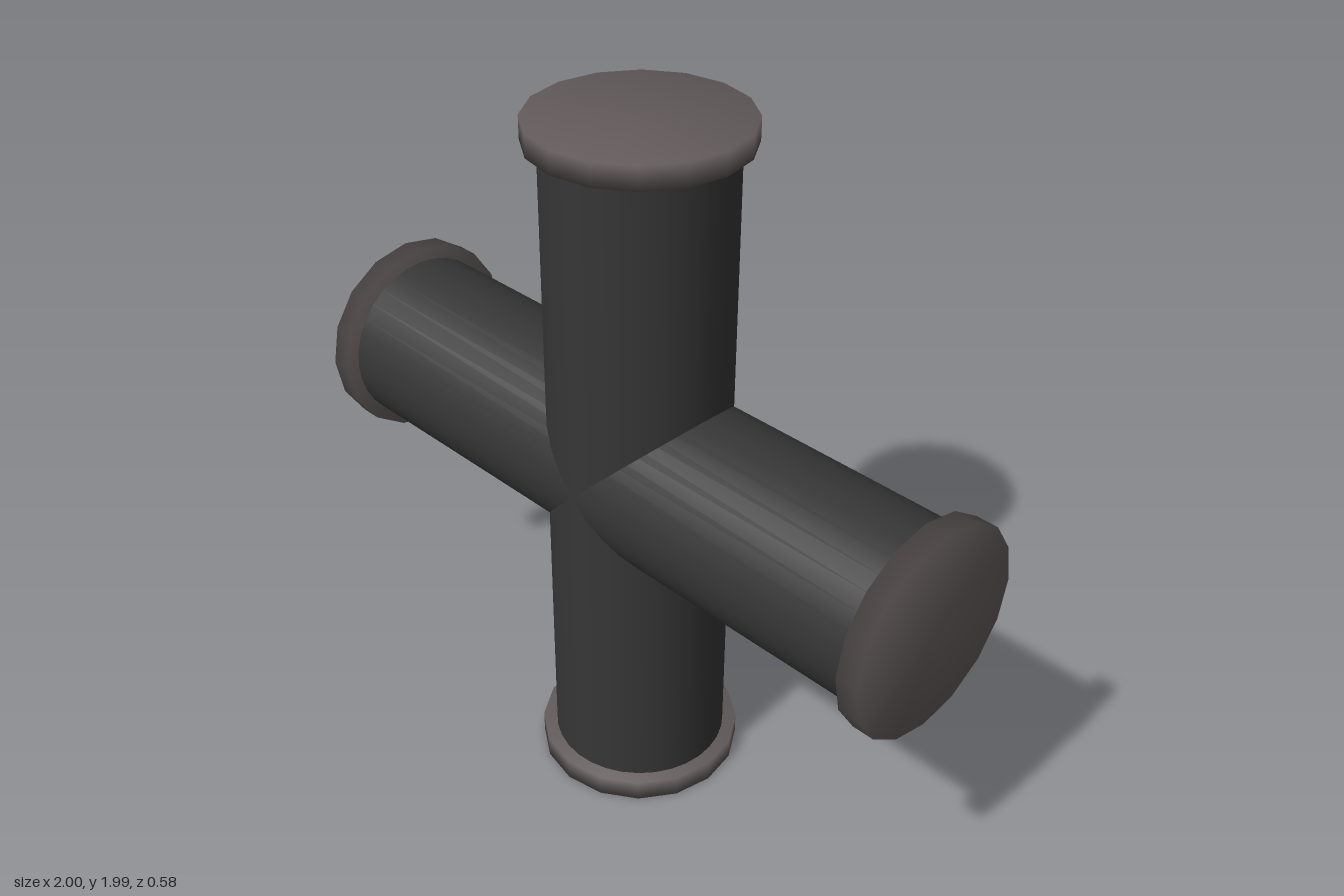
import * as THREE from 'three';
import { mergeVertices } from 'three/addons/utils/BufferGeometryUtils.js';

const CENTER_Y = 0.995;
const PIPE_RADIUS = 0.25;
const FLANGE_RADIUS = 0.29;
const FLANGE_THICKNESS = 0.063;

// Flange disc with normals blended softly around its rim
function softDisc(radius, height, sides) {
  const geo = new THREE.CylinderGeometry(radius, radius, height, sides);
  geo.deleteAttribute('normal');
  geo.deleteAttribute('uv');
  const merged = mergeVertices(geo);
  merged.computeVertexNormals();
  return merged;
}

export function createModel() {
  const model = new THREE.Group();
  model.name = 'pipeCross';

  const pipeMaterial = new THREE.MeshStandardMaterial({ color: 0x363636 });
  pipeMaterial.name = 'dark pipe';
  const flangeMaterial = new THREE.MeshStandardMaterial({ color: 0x625a5a });
  flangeMaterial.name = 'warm grey flange';

  const discGeometry = softDisc(FLANGE_RADIUS, FLANGE_THICKNESS, 16);

  // One straight pipe with a flange closing each end
  function addPipe(name, halfLength, rotationZ) {
    const arm = new THREE.Group();
    arm.name = name;
    const length = 2 * (halfLength - FLANGE_THICKNESS / 2);
    const pipe = new THREE.Mesh(
      new THREE.CylinderGeometry(PIPE_RADIUS, PIPE_RADIUS, length, 32, 1, true),
      pipeMaterial
    );
    pipe.name = name + 'Tube';
    arm.add(pipe);

    for (const side of [-1, 1]) {
      const flange = new THREE.Mesh(discGeometry, flangeMaterial);
      flange.name = name + (side > 0 ? 'FlangeA' : 'FlangeB');
      flange.position.y = side * (halfLength - FLANGE_THICKNESS / 2);
      arm.add(flange);
    }
    arm.rotation.z = rotationZ;
    arm.position.y = CENTER_Y;
    model.add(arm);
  }

  addPipe('verticalPipe', CENTER_Y, 0);
  addPipe('horizontalPipe', 1, Math.PI / 2);

  return model;
}
